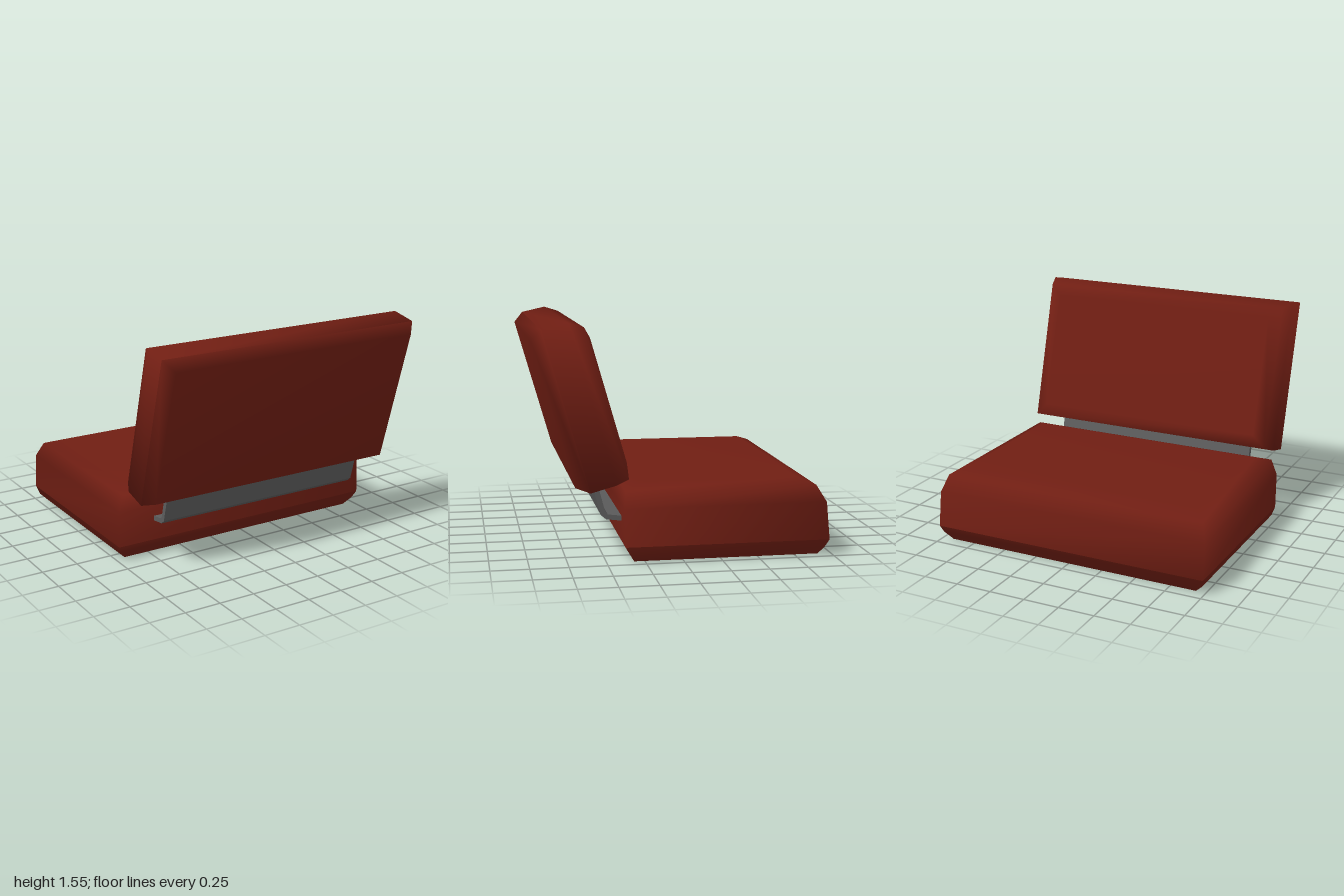
import * as THREE from 'three';

const leather = new THREE.MeshStandardMaterial({ color: 0x701e13, side: THREE.DoubleSide });
const steel = new THREE.MeshStandardMaterial({ color: 0x5c5c5c });

// Lofts rectangular rings [y, xMin, xMax, zMin, zMax] stacked along y, smooth shaded
function loft(rings, { capBottom = false, capTop = false }) {
  const pos = [], idx = [];
  for (const [y, x0, x1, z0, z1] of rings) pos.push(x0, y, z0, x0, y, z1, x1, y, z1, x1, y, z0);
  for (let r = 0; r < rings.length - 1; r++) {
    for (let i = 0; i < 4; i++) {
      const a = r * 4 + i, b = r * 4 + (i + 1) % 4;
      idx.push(a, b, b + 4, a, b + 4, a + 4);
    }
  }
  const t = (rings.length - 1) * 4;
  if (capBottom) idx.push(0, 2, 1, 0, 3, 2);
  if (capTop) idx.push(t, t + 1, t + 2, t, t + 2, t + 3);
  const geo = new THREE.BufferGeometry();
  geo.setAttribute('position', new THREE.Float32BufferAttribute(pos, 3));
  geo.setIndex(idx);
  geo.computeVertexNormals();
  return geo;
}

// Cushion = padded body plus a bevelled lower border, with a crisp seam between them
function cushion(name, border, body, closed) {
  const group = new THREE.Group();
  group.name = name;
  const bodyMesh = new THREE.Mesh(loft([border[border.length - 1], ...body], { capTop: true }), leather);
  bodyMesh.name = name + 'Padding';
  const borderMesh = new THREE.Mesh(loft(border, { capBottom: closed }), leather);
  borderMesh.name = name + 'Border';
  group.add(bodyMesh, borderMesh);
  return group;
}

export function createModel() {
  const model = new THREE.Group();
  model.name = 'seatWithBackrest';

  // Seat: hollow shell, open underneath
  model.add(cushion('seat',
    [[0, -0.93, 0.92, -0.91, 0.32], [0.055, -0.985, 0.975, -0.94, 0.353], [0.11, -1, 0.99, -0.97, 0.385]],
    [[0.36, -1, 0.98, -0.95, 0.39], [0.47, -0.96, 0.95, -0.885, 0.38], [0.51, -0.87, 0.86, -0.78, 0.27]],
    false));

  // Backrest: the same kind of cushion stood up and tilted, closed at the rear
  const backrest = cushion('backrest',
    [[0, -0.89, 0.94, 0, 0.978], [0.08, -0.95, 1, -0.05, 1.03]],
    [[0.255, -0.95, 0.99, -0.055, 1.02], [0.342, -0.91, 0.96, -0.047, 0.964], [0.367, -0.82, 0.87, 0.041, 0.883]],
    true);
  backrest.rotation.x = -1.291;
  backrest.position.set(0, 0.5, 0.7);
  model.add(backrest);

  // Bent plate joining seat and backrest, drawn in (z, y) and extruded across x
  const profile = new THREE.Shape([
    [0.33, 0.24], [0.39, 0.25], [0.49, 0.263], [0.522, 0.29], [0.586, 0.52],
    [0.552, 0.53], [0.495, 0.315], [0.478, 0.295], [0.39, 0.283], [0.33, 0.273],
  ].map(([z, y]) => new THREE.Vector2(z, y)));
  const plate = new THREE.ExtrudeGeometry(profile, { depth: 1.555, bevelEnabled: false });
  plate.rotateY(-Math.PI / 2).translate(0.82, 0, 0);
  const bracket = new THREE.Mesh(plate, steel);
  bracket.name = 'bracket';
  model.add(bracket);

  return model;
}
